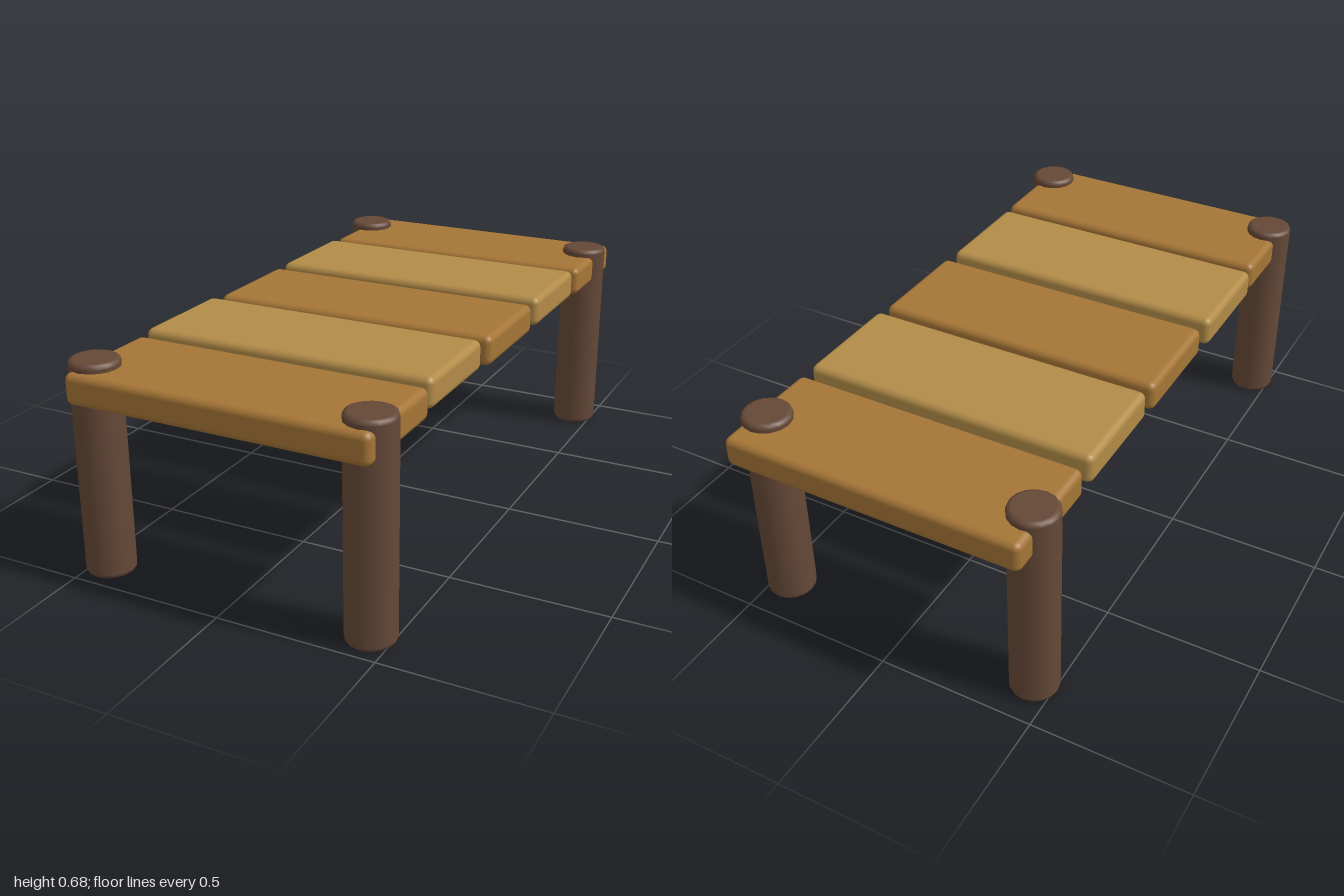
import * as THREE from 'three';
import { RoundedBoxGeometry } from 'three/addons/geometries/RoundedBoxGeometry.js';

const POST_HEIGHT = 0.68, POST_RADIUS = 0.076, BEVEL = 0.012;

// Round post with softened rims; doubled cap rings keep the caps flat-shaded.
function postGeometry() {
  const r = POST_RADIUS, h = POST_HEIGHT, b = BEVEL;
  const bottom = [[0, 0], [r - b - 0.002, 0], [r - b, 0], [r - b * 0.3, b * 0.3], [r, b], [r, b + 0.002]];
  const top = bottom.map(([x, y]) => [x, h - y]).reverse();
  const profile = [...bottom, ...top].map(([x, y]) => new THREE.Vector2(x, y));
  return new THREE.LatheGeometry(profile, 16);
}

export function createModel() {
  const group = new THREE.Group();
  const postWood = new THREE.MeshStandardMaterial({ color: 0x654837 });
  const darkWood = new THREE.MeshStandardMaterial({ color: 0xa57536 });
  const lightWood = new THREE.MeshStandardMaterial({ color: 0xb28b48 });

  // Five planks of alternating tone, each slightly out of line
  const plank = new RoundedBoxGeometry(0.963, 0.097, 0.37, 3, 0.022);
  const offsets = [0.01, 0.006, 0.002, -0.009, 0.001];
  offsets.forEach((x, i) => {
    const light = i % 2 === 1;
    const mesh = new THREE.Mesh(plank, light ? lightWood : darkWood);
    mesh.name = `plank${i + 1}`;
    mesh.position.set(x, light ? 0.613 : 0.607, -0.815 + i * 0.4065);
    group.add(mesh);
  });

  // Four corner posts standing just proud of the deck
  const post = postGeometry();
  for (const [end, z] of [['back', -0.86], ['front', 0.9]]) {
    for (const [side, sign] of [['Left', 1], ['Right', -1]]) {
      const mesh = new THREE.Mesh(post, postWood);
      mesh.name = `${end}${side}Post`;
      mesh.position.set(sign * 0.439, 0, z);
      group.add(mesh);
    }
  }
  return group;
}
